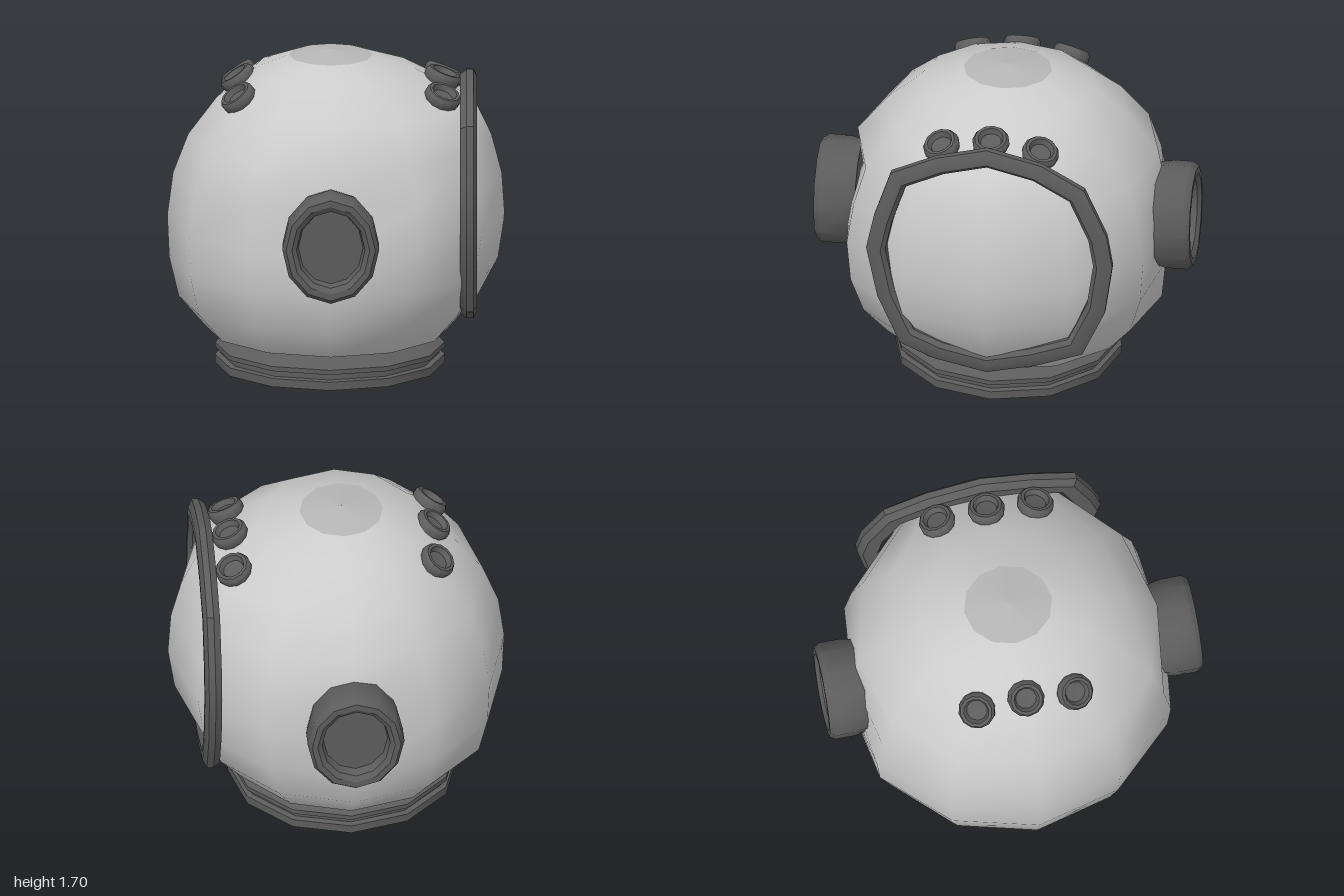
import * as THREE from 'three';
import { toCreasedNormals } from 'three/addons/utils/BufferGeometryUtils.js';

const CX = -0.03;
const shellMat = new THREE.MeshStandardMaterial({ color: 0xcccccc, side: THREE.DoubleSide });
const capMat = new THREE.MeshStandardMaterial({ color: 0xb6b6b6, side: THREE.DoubleSide });
const darkMat = new THREE.MeshStandardMaterial({ color: 0x5c5c5c });

// Skin a list of closed cross-section rows (each an array of [x, y, z])
function skin(rows) {
  const n = rows[0].length, index = [];
  for (let i = 0; i < rows.length - 1; i++) {
    for (let j = 0; j < n; j++) {
      const a = i * n + j, b = i * n + (j + 1) % n;
      index.push(a, b, b + n, a, b + n, a + n);
    }
  }
  const geo = new THREE.BufferGeometry();
  geo.setAttribute('position', new THREE.Float32BufferAttribute(rows.flat(2), 3));
  geo.setIndex(index);
  geo.computeVertexNormals();
  return geo;
}

function lathe(points, sides) {
  const geo = new THREE.LatheGeometry(points.map(p => new THREE.Vector2(...p)), sides);
  return toCreasedNormals(geo, 0.6);
}

function add(group, name, geo, mat) {
  const mesh = new THREE.Mesh(geo, mat);
  mesh.name = name;
  group.add(mesh);
  return mesh;
}

// One level of the shell: separate -x and +x reach, dimpled under the side ports
function shellRow([y, left, right, depth]) {
  const row = [];
  for (let j = 0; j < 12; j++) {
    const t = j / 12 * Math.PI * 2, s = Math.sin(t);
    let z = depth * Math.cos(t);
    if (j % 6 === 0 && y > 0.5 && y < 1.1) {
      z = Math.sign(z) * (j === 0 && y > 1 ? 0.77 : 0.84);
    }
    row.push([CX + s * (s < 0 ? left + CX : right - CX), y, z]);
  }
  return row;
}

export function createModel() {
  const model = new THREE.Group();
  model.name = 'helmet';

  // Shell, open at the neck: [y, reach to -x, reach to +x, half depth]
  const levels = [
    [0.17, 0.44, 0.38, 0.41], [0.17, 0.6, 0.52, 0.56], [0.2, 0.69, 0.6, 0.68],
    [0.36, 0.83, 0.74, 0.82], [0.57, 0.88, 0.85, 0.89], [0.8, 0.89, 0.885, 0.91],
    [1.03, 0.86, 0.87, 0.87], [1.24, 0.78, 0.815, 0.8], [1.44, 0.63, 0.72, 0.64],
    [1.595, 0.44, 0.41, 0.46], [1.67, 0.25, 0.19, 0.235],
  ];
  add(model, 'shell', skin(levels.map(shellRow)), shellMat);

  // Crown disc closing the top
  const crown = [levels[levels.length - 1], [1.7, 0.031, -0.029, 0.001]];
  add(model, 'crown', skin(crown.map(shellRow)), capMat);

  // Visor rim: outline in (z, y), swept through a bevelled section of [x, scale]
  const outline = [
    [0, 1.59], [-0.29, 1.52], [-0.52, 1.39], [-0.64, 1.12], [-0.67, 0.94], [-0.63, 0.66],
    [-0.51, 0.4], [-0.26, 0.31], [0, 0.25], [0.28, 0.31], [0.46, 0.39], [0.58, 0.66],
    [0.64, 0.95], [0.6, 1.14], [0.51, 1.41], [0.27, 1.52],
  ];
  const section = [
    [0.65, 0.84], [0.715, 0.845], [0.74, 0.88], [0.74, 0.94], [0.72, 1],
    [0.685, 1], [0.65, 0.96], [0.65, 0.84],
  ];
  const rimRows = section.map(([x, s]) =>
    outline.map(([z, y]) => [x, 0.92 + (y - 0.92) * s, -0.01 + (z + 0.01) * s]));
  add(model, 'visorRim', toCreasedNormals(skin(rimRows), 0.6), darkMat);

  // Side ports: oval cups facing +z and -z
  const portProfile = [
    [0, 0.78], [0.24, 0.78], [0.255, 0.86], [0.255, 0.97], [0.235, 1], [0.205, 1],
    [0.18, 0.98], [0.17, 0.93], [0, 0.93],
  ];
  for (const side of [1, -1]) {
    const geo = lathe(portProfile, 12);
    geo.rotateX(side * Math.PI / 2);
    geo.scale(1, 0.295 / 0.255, 1);
    const port = add(model, side > 0 ? 'frontPort' : 'backPort', geo, darkMat);
    port.position.set(CX, 0.86, 0);
  }

  // Neck collar: grooved ring with a sloped top and open middle
  const collar = add(model, 'neckCollar', lathe([
    [0.56, 0], [0.605, 0], [0.605, 0.045], [0.575, 0.05], [0.575, 0.08], [0.605, 0.085],
    [0.605, 0.11], [0.42, 0.178], [0.4, 0.165], [0.56, 0.06], [0.56, 0],
  ], 12), darkMat);
  collar.position.x = CX - 0.005;

  // Small vents: three on each side of the crown
  const ventGeo = lathe([
    [0.08, -0.04], [0.098, 0], [0.098, 0.025], [0.085, 0.045], [0.068, 0.045],
    [0.055, 0.015], [0, 0.01],
  ], 12);
  const up = new THREE.Vector3(0, 1, 0);
  for (const side of [-1, 1]) {
    for (const z of [-0.26, 0, 0.26]) {
      const vent = add(model, 'vent', ventGeo, darkMat);
      const y = (side < 0 ? 1.535 : 1.54) - Math.abs(z) * 0.16;
      vent.position.set(side < 0 ? -0.51 : 0.555, y, z);
      const normal = new THREE.Vector3(side < 0 ? -0.6 : 0.33, 0.85, z).normalize();
      vent.quaternion.setFromUnitVectors(up, normal);
    }
  }
  return model;
}
